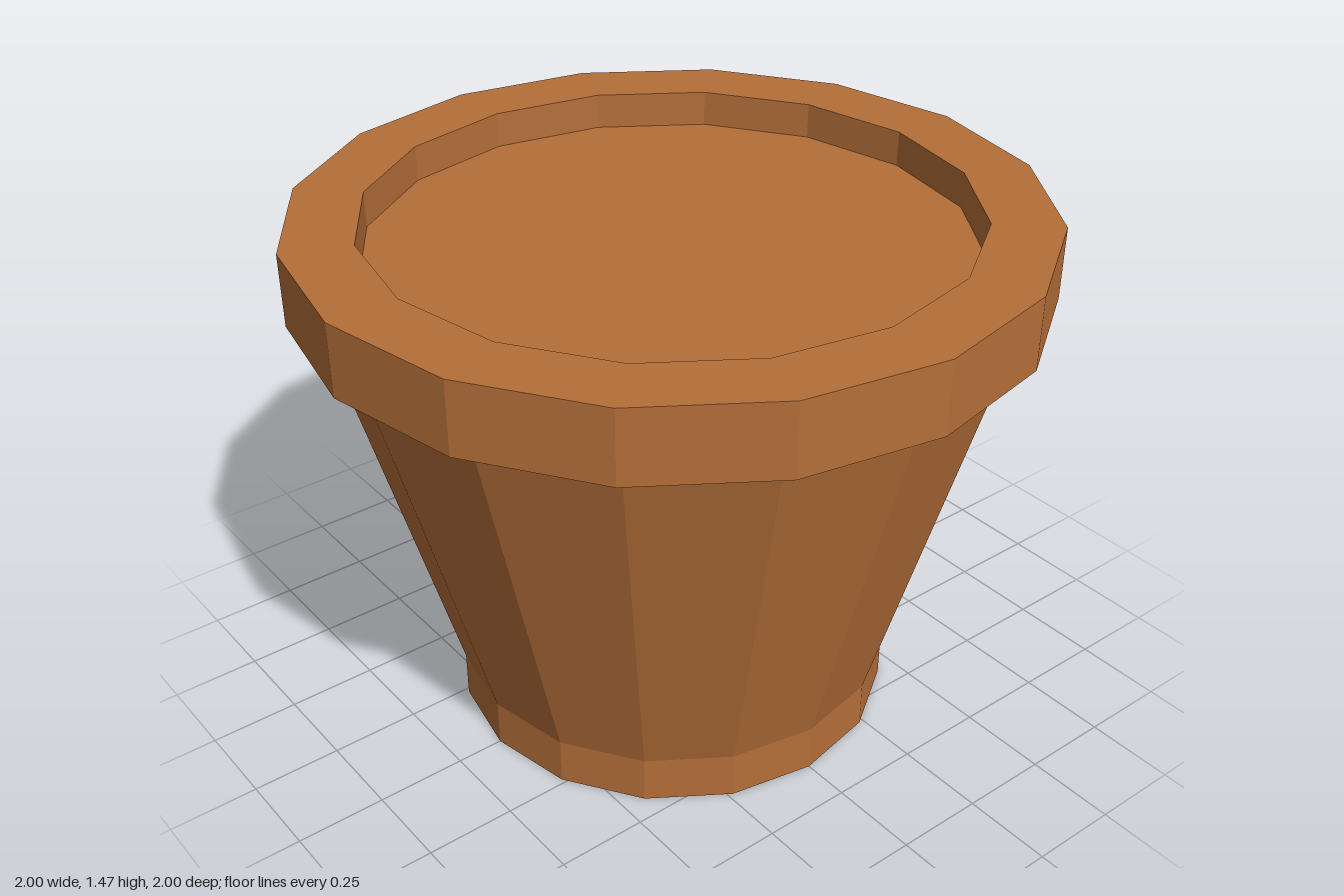
import * as THREE from 'three';

const SIDES = 16;

export function createModel() {
  const model = new THREE.Group();
  model.name = 'flowerPot';

  const terracotta = new THREE.MeshStandardMaterial({ color: 0xb56f39, flatShading: true });
  terracotta.name = 'terracotta';

  // Turns a [radius, height] profile into a faceted part
  const turned = (name, profile) => {
    const points = profile.map(([r, y]) => new THREE.Vector2(r, y));
    const mesh = new THREE.Mesh(new THREE.LatheGeometry(points, SIDES), terracotta);
    mesh.name = name;
    model.add(mesh);
  };

  // Closed underside and short upright foot
  turned('foot', [[0, 0], [0.617, 0], [0.617, 0.135]]);

  // Flared wall
  turned('wall', [[0.617, 0.135], [0.925, 1.27]]);

  // Thick overhanging rim with its inner face
  turned('rim', [[0.925, 1.27], [1, 1.27], [1, 1.47], [0.81, 1.47], [0.81, 1.37]]);

  // Flat filling just below the rim
  turned('filling', [[0.81, 1.37], [0, 1.37]]);

  return model;
}
